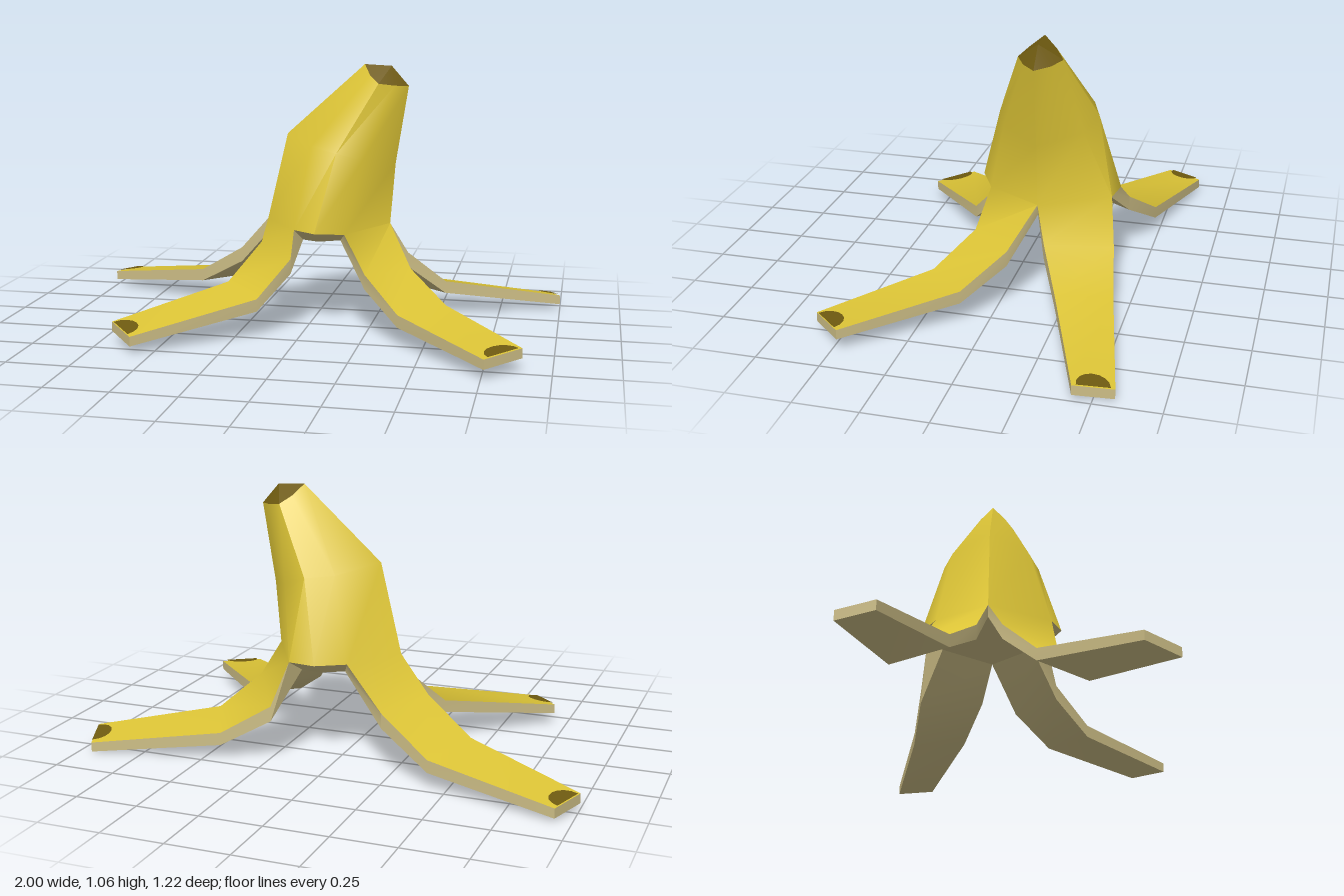
import * as THREE from 'three';
import { toCreasedNormals } from 'three/addons/utils/BufferGeometryUtils.js';

const V = (x, y, z) => new THREE.Vector3(x, y, z);
const material = (name, color) => {
  const m = new THREE.MeshStandardMaterial({ color });
  m.name = name;
  return m;
};

// Collects triangles and quads, then makes a mesh with sharp creases kept
class Surface {
  constructor() { this.points = []; }
  tri(a, b, c) { this.points.push(a, b, c); }
  quad(a, b, c, d) { this.tri(a, b, c); this.tri(a, c, d); }
  mesh(name, mat, crease) {
    const g = new THREE.BufferGeometry().setFromPoints(this.points);
    const mesh = new THREE.Mesh(toCreasedNormals(g, crease), mat);
    mesh.name = name;
    return mesh;
  }
}

export function createModel() {
  const group = new THREE.Group();
  group.name = 'bananaPeel';
  const yellow = material('peel yellow', 0xdcc436);
  const cream = material('inner cream', 0xcdbe86);
  const brown = material('tip brown', 0x6e5a10);

  // Body rings: left edge, front (3 points), right edge, back (3 points)
  const hem = [
    V(-0.205, 0.41, -0.137), V(-0.04, 0.415, 0.11), V(0.05, 0.41, 0.15), V(0.16, 0.4, 0.09),
    V(0.31, 0.41, -0.137), V(0.16, 0.41, -0.4), V(0.05, 0.41, -0.415), V(-0.06, 0.41, -0.35),
  ];
  const middle = [
    V(-0.12, 0.77, -0.137), V(0.01, 0.74, 0.02), V(0.12, 0.72, 0.06), V(0.22, 0.69, 0.02),
    V(0.33, 0.66, -0.137), V(0.22, 0.69, -0.295), V(0.12, 0.73, -0.335), V(0.01, 0.74, -0.295),
  ];
  const top = [
    V(0.2, 1.06, -0.137), V(0.23, 1.02, -0.085), V(0.27, 0.99, -0.05), V(0.33, 0.98, -0.085),
    V(0.38, 0.975, -0.137), V(0.33, 0.98, -0.19), V(0.27, 0.99, -0.225), V(0.23, 1.02, -0.19),
  ];
  const center = V(0.055, 0.365, -0.137);
  const inner = hem.map((p, i) => {
    const q = p.clone().lerp(center, i % 4 === 0 ? 0.05 : 0.25);
    q.y = 0.365;
    return q;
  });

  const skin = new Surface(), flesh = new Surface(), cap = new Surface();
  const peak = V(0.31, 1.055, -0.137);
  for (let i = 0; i < 8; i++) {
    const j = (i + 1) % 8;
    skin.quad(hem[i], hem[j], middle[j], middle[i]);
    skin.quad(middle[i], middle[j], top[j], top[i]);
    cap.tri(top[i], top[j], peak);
    flesh.tri(center, inner[j], inner[i]);
  }
  // Lip under the hem, between the strips at front and back
  for (const i of [1, 2, 5, 6]) flesh.quad(inner[i], inner[i + 1], hem[i + 1], hem[i]);

  // Four drooping strips: two hem points and the edges that run out from them
  const strips = [
    { name: 'frontRight', from: 0, to: 1,
      a: [V(-0.22, 0.32, -0.08), V(-0.33, 0.175, 0.05), V(-0.70, 0.085, 0.42)],
      b: [V(-0.05, 0.30, 0.13), V(-0.16, 0.16, 0.25), V(-0.58, 0.07, 0.56)] },
    { name: 'frontLeft', from: 3, to: 4,
      a: [V(0.25, 0.25, 0.13), V(0.40, 0.13, 0.26), V(0.76, 0.08, 0.605)],
      b: [V(0.41, 0.245, -0.04), V(0.57, 0.137, 0.10), V(0.89, 0.092, 0.475)] },
    { name: 'backLeft', from: 4, to: 5,
      a: [V(0.38, 0.28, -0.18), V(0.53, 0.145, -0.26), V(1.0, 0.065, -0.43)],
      b: [V(0.23, 0.23, -0.425), V(0.43, 0.11, -0.465), V(0.95, 0.04, -0.575)] },
    { name: 'backRight', from: 7, to: 0,
      a: [V(-0.22, 0.25, -0.405), V(-0.43, 0.12, -0.485), V(-0.94, 0.055, -0.61)],
      b: [V(-0.33, 0.27, -0.175), V(-0.53, 0.145, -0.26), V(-1.0, 0.065, -0.465)] },
  ];
  const thickness = [0.06, 0.05, 0.038];
  const lowered = (edge) => edge.map((p, k) => V(p.x, p.y - thickness[k], p.z));

  for (const { name, from, to, a: edgeA, b: edgeB } of strips) {
    const a = [hem[from], ...edgeA], b = [hem[to], ...edgeB];
    const c = [inner[from], ...lowered(edgeA)], d = [inner[to], ...lowered(edgeB)];
    for (let k = 0; k < 3; k++) {
      skin.quad(a[k + 1], b[k + 1], b[k], a[k]);
      flesh.quad(c[k], d[k], d[k + 1], c[k + 1]);
      flesh.quad(c[k], c[k + 1], a[k + 1], a[k]);
      flesh.quad(d[k + 1], d[k], b[k], b[k + 1]);
    }
    flesh.quad(c[3], d[3], b[3], a[3]);

    // Rounded brown patch at the end of the strip
    const patch = new Surface();
    const at = (u, v) => {
      const p = a[3].clone().lerp(b[3], u).lerp(a[2].clone().lerp(b[2], u), v);
      p.y += 0.005;
      return p;
    };
    const arc = (t) => at(0.5 - 0.4 * Math.cos(t), 0.13 * Math.sin(t));
    for (let s = 0; s < 8; s++) {
      patch.tri(at(0.5, 0), arc((s + 1) * Math.PI / 8), arc(s * Math.PI / 8));
    }
    group.add(patch.mesh(name + 'TipPatch', brown, 0.5));
  }

  group.add(skin.mesh('outerPeel', yellow, 0.75));
  group.add(flesh.mesh('innerPeel', cream, 0.5));
  group.add(cap.mesh('stemCap', brown, 0.4));
  return group;
}
